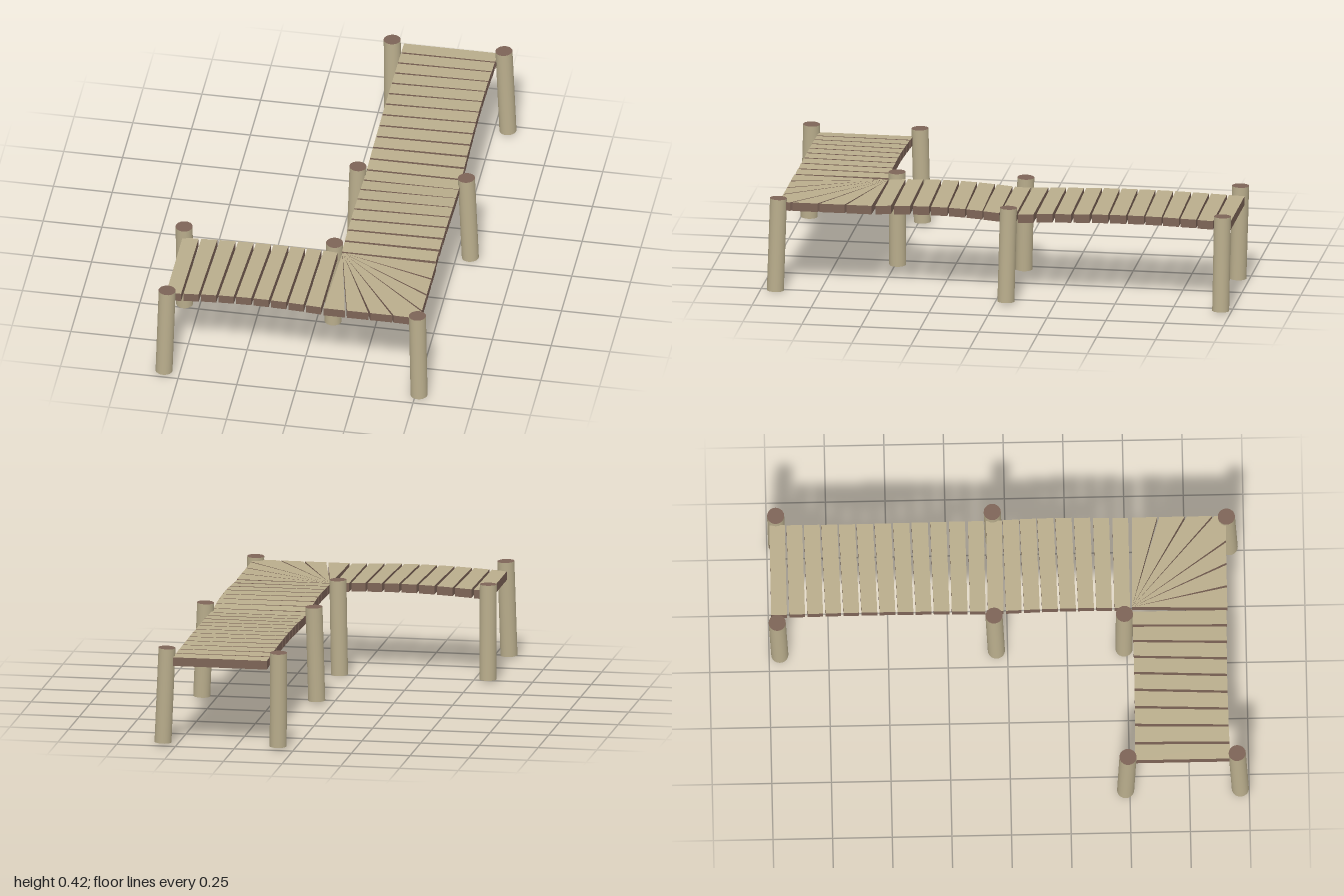
import * as THREE from 'three';

const tan = new THREE.MeshStandardMaterial({ color: 0xb9ad8c });
const brown = new THREE.MeshStandardMaterial({ color: 0x7d6457 });
const THICK = 0.037;

// Convex slab: corners [x, y, z] of the top, counter-clockwise seen from above
function slab(top, name) {
  const pos = [];
  const low = top.map(([x, y, z]) => [x, y - THICK, z]);
  const n = top.length;
  for (let i = 1; i < n - 1; i++) pos.push(...top[0], ...top[i], ...top[i + 1]);
  for (let i = 1; i < n - 1; i++) pos.push(...low[0], ...low[i + 1], ...low[i]);
  for (let i = 0; i < n; i++) {
    const j = (i + 1) % n;
    pos.push(...low[i], ...low[j], ...top[j], ...low[i], ...top[j], ...top[i]);
  }
  const geo = new THREE.BufferGeometry();
  geo.setAttribute('position', new THREE.Float32BufferAttribute(pos, 3));
  geo.computeVertexNormals();
  const topCount = (n - 2) * 3;
  geo.addGroup(0, topCount, 0);
  geo.addGroup(topCount, pos.length / 3 - topCount, 1);
  const mesh = new THREE.Mesh(geo, [tan, brown]);
  mesh.name = name;
  return mesh;
}

// Round post leaning from its foot to its head
function post(foot, head) {
  const a = new THREE.Vector3(...foot), b = new THREE.Vector3(...head);
  const dir = b.clone().sub(a);
  const geo = new THREE.CylinderGeometry(0.036, 0.036, dir.length(), 20);
  const mesh = new THREE.Mesh(geo, [tan, brown, brown]);
  mesh.position.copy(a).add(b).multiplyScalar(0.5);
  mesh.quaternion.setFromUnitVectors(new THREE.Vector3(0, 1, 0), dir.normalize());
  mesh.name = 'post';
  return mesh;
}

// Deck height: gentle arch between two supports
const arch = (t, y0, y1, rise) => y0 + (y1 - y0) * t + rise * Math.sin(Math.PI * t);
const skewAt = (t) => 0.013 * Math.sin(Math.PI * THREE.MathUtils.clamp(t, 0, 1));

export function createModel() {
  const model = new THREE.Group();
  model.name = 'boardwalk';

  // Posts
  const posts = new THREE.Group();
  posts.name = 'posts';
  [
    [[0.07, 0.01, -0.955], [0.066, 0.413, -0.966]],
    [[0.56, 0.01, -0.958], [0.542, 0.416, -0.963]],
    [[0.07, 0.01, -0.047], [0.08, 0.413, -0.057]],
    [[0.56, 0.01, -0.047], [0.542, 0.413, -0.055]],
    [[0.07, 0.005, 0.488], [0.077, 0.411, 0.49]],
    [[0.515, 0.002, 0.938], [0.506, 0.401, 0.926]],
    [[-0.563, 0.01, 0.482], [-0.563, 0.416, 0.492]],
    [[-0.566, 0.01, 0.963], [-0.555, 0.416, 0.95]],
  ].forEach(([foot, head]) => posts.add(post(foot, head)));
  model.add(posts);

  // Long walkway, back to corner, with two arches
  const long = new THREE.Group();
  long.name = 'longWalkway';
  const longHeight = (z) => z < -0.05
    ? arch((z + 0.99) / 0.94, 0.381, 0.376, 0.013)
    : arch((z + 0.05) / 0.57, 0.376, 0.387, 0.013);
  for (let i = 0; i < 20; i++) {
    const z0 = -0.99 + i * 0.0757, z1 = z0 + 0.066;
    const s0 = i < 12 ? skewAt(i / 11) : skewAt((i - 12) / 7);
    const s1 = i < 12 ? skewAt((i + 0.5) / 11.5) * 0.8 : skewAt((i - 12) / 7) * 0.8;
    const y0 = longHeight(z0), y1 = longHeight(z1);
    const end = 0.512 - 0.005 * Math.sin(i * 0.33);
    long.add(slab([
      [0.112, y0, z0], [0.112, y1, z1], [end, y1, z1 - s1], [end, y0, z0 - s0],
    ], 'plank'));
  }
  model.add(long);

  // Fan of wedge planks around the inner corner
  const fan = new THREE.Group();
  fan.name = 'cornerFan';
  const y = 0.387, cx = 0.116, cz = 0.522, R = 0.515, F = 0.922, gap = 0.009;
  const wedge = (...rim) => fan.add(slab(
    [[cx, y, cz], ...rim.map(([x, z]) => [x, y, z])], 'wedgePlank'));
  for (let i = 0; i < 3; i++) {
    const z = 0.53 + i * 0.115, x = 0.105 + i * 0.1;
    wedge([R, z + 0.115 - gap], [R, z]);
    wedge([x, F], [x + 0.1 - gap, F]);
  }
  wedge([0.405, F], [R, F + 0.003], [R, 0.875]);
  model.add(fan);

  // Short walkway, end to corner, with one arch
  const short = new THREE.Group();
  short.name = 'shortWalkway';
  const shortHeight = (x) => arch((x + 0.565) / 0.665, 0.379, 0.387, 0.012);
  for (let i = 0; i < 9; i++) {
    const x0 = -0.565 + i * 0.0744, x1 = x0 + 0.064;
    const s0 = skewAt(i / 9) * 1.3, s1 = skewAt((i + 0.86) / 9) * 1.3;
    const y0 = shortHeight(x0), y1 = shortHeight(x1);
    const front = 0.92 - 0.005 * Math.sin(i * 0.35), back = 0.522 + 0.004 * Math.sin(i * 0.35);
    short.add(slab([
      [x0 + s0, y0, back], [x0, y0, front], [x1, y1, front], [x1 + s1, y1, back],
    ], 'plank'));
  }
  model.add(short);

  return model;
}
